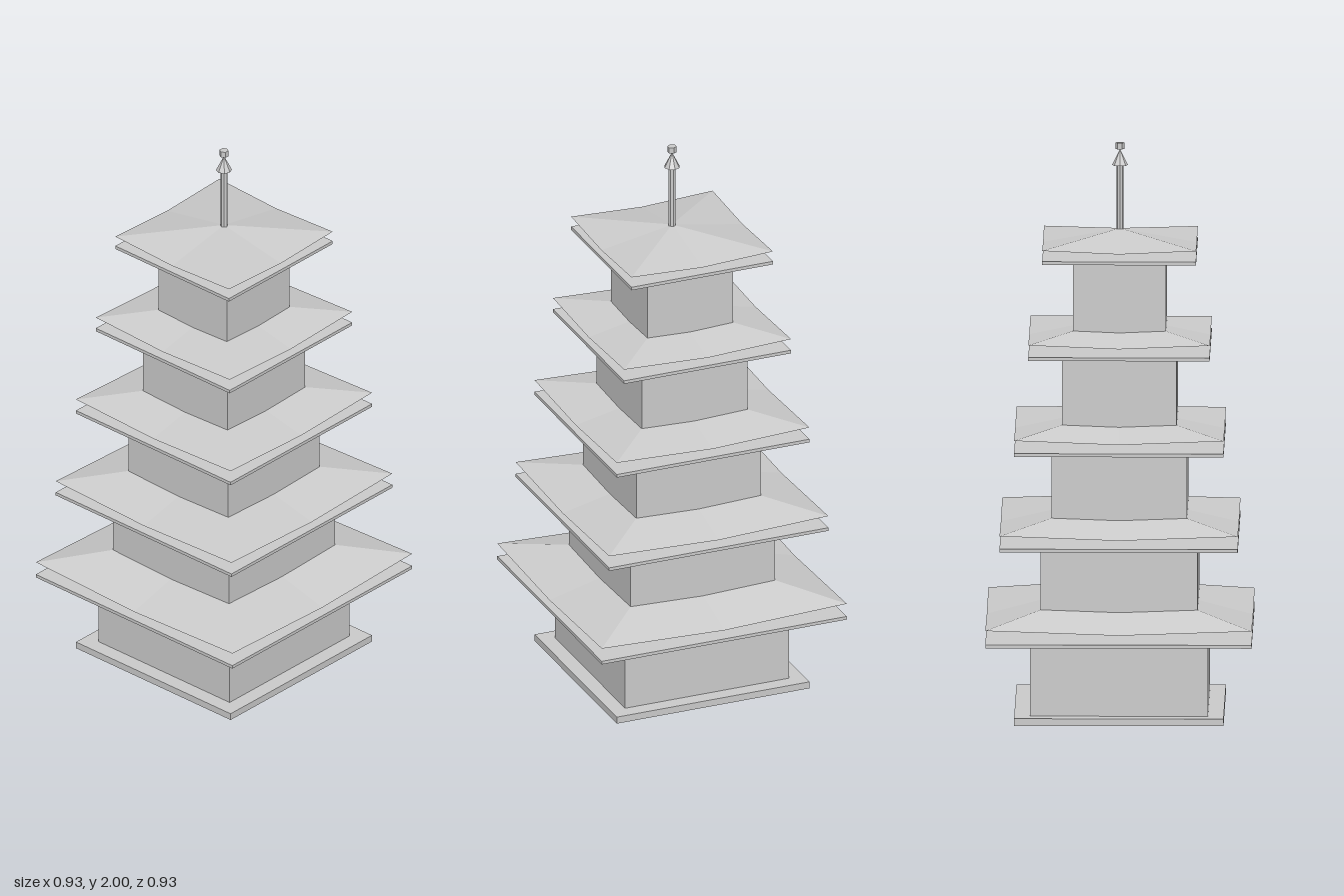
import * as THREE from 'three';

const grey = new THREE.MeshStandardMaterial({ color: 0xcccccc, flatShading: true });
const thin = new THREE.MeshStandardMaterial({ color: 0xcccccc, flatShading: true, side: THREE.DoubleSide });

function add(parent, name, geometry, y = 0, material = grey) {
  const mesh = new THREE.Mesh(geometry, material);
  mesh.name = name;
  mesh.position.y = y;
  parent.add(mesh);
  return mesh;
}

// Square block given by its half width and its bottom and top heights
function block(parent, name, half, y0, y1) {
  return add(parent, name, new THREE.BoxGeometry(half * 2, y1 - y0, half * 2), (y0 + y1) / 2);
}

// Open pyramid roof whose corners lift above the middles of its eaves
function roofGeometry(half, height, lift) {
  const rim = [[1, 1], [1, 0], [1, -1], [0, -1], [-1, -1], [-1, 0], [-1, 1], [0, 1]]
    .map(([x, z]) => [x * half, x && z ? lift : 0, z * half]);
  const points = [];
  rim.forEach((p, i) => points.push(0, height, 0, ...p, ...rim[(i + 1) % 8]));
  const g = new THREE.BufferGeometry();
  g.setAttribute('position', new THREE.Float32BufferAttribute(points, 3));
  g.computeVertexNormals();
  return g;
}

export function createModel() {
  const model = new THREE.Group();
  model.name = 'pagoda';

  block(model, 'base', 0.365, 0, 0.025);

  // Five shrinking storeys: walls, eave slab and floating roof
  const storeys = [
    { wall: 0.31, eave: 0.464, neck: 0.322, slab: 0.29, roof: 0.335, apex: 0.457 },
    { wall: 0.274, eave: 0.415, neck: 0.28, slab: 0.62, roof: 0.662, apex: 0.758 },
    { wall: 0.236, eave: 0.365, neck: 0.235, slab: 0.949, roof: 0.992, apex: 1.07 },
    { wall: 0.2, eave: 0.316, neck: 0.16, slab: 1.28, roof: 1.322, apex: 1.388 },
    { wall: 0.162, eave: 0.268, neck: 0, slab: 1.611, roof: 1.649, apex: 1.698 },
  ];
  let floor = 0.025;
  storeys.forEach((s, i) => {
    const storey = new THREE.Group();
    storey.name = 'storey' + (i + 1);
    model.add(storey);
    block(storey, 'walls', s.wall, floor, s.slab + 0.005);
    block(storey, 'eaveSlab', s.eave, s.slab, s.slab + 0.012);
    add(storey, 'roof', roofGeometry(s.eave, s.apex - s.roof, 0.016 - i * 0.001), s.roof, thin);
    // Low block tucked under the roof
    if (s.neck) block(storey, 'roofNeck', s.neck, s.roof, s.roof + 0.02);
    floor = s.roof + 0.005;
  });

  // Spire
  const spire = new THREE.Group();
  spire.name = 'spire';
  model.add(spire);
  add(spire, 'pole', new THREE.CylinderGeometry(0.013, 0.013, 0.25, 8), 1.8);
  add(spire, 'cone', new THREE.ConeGeometry(0.028, 0.056, 8), 1.949);
  add(spire, 'finial', new THREE.CylinderGeometry(0.016, 0.016, 0.022, 6), 1.989);
  return model;
}
